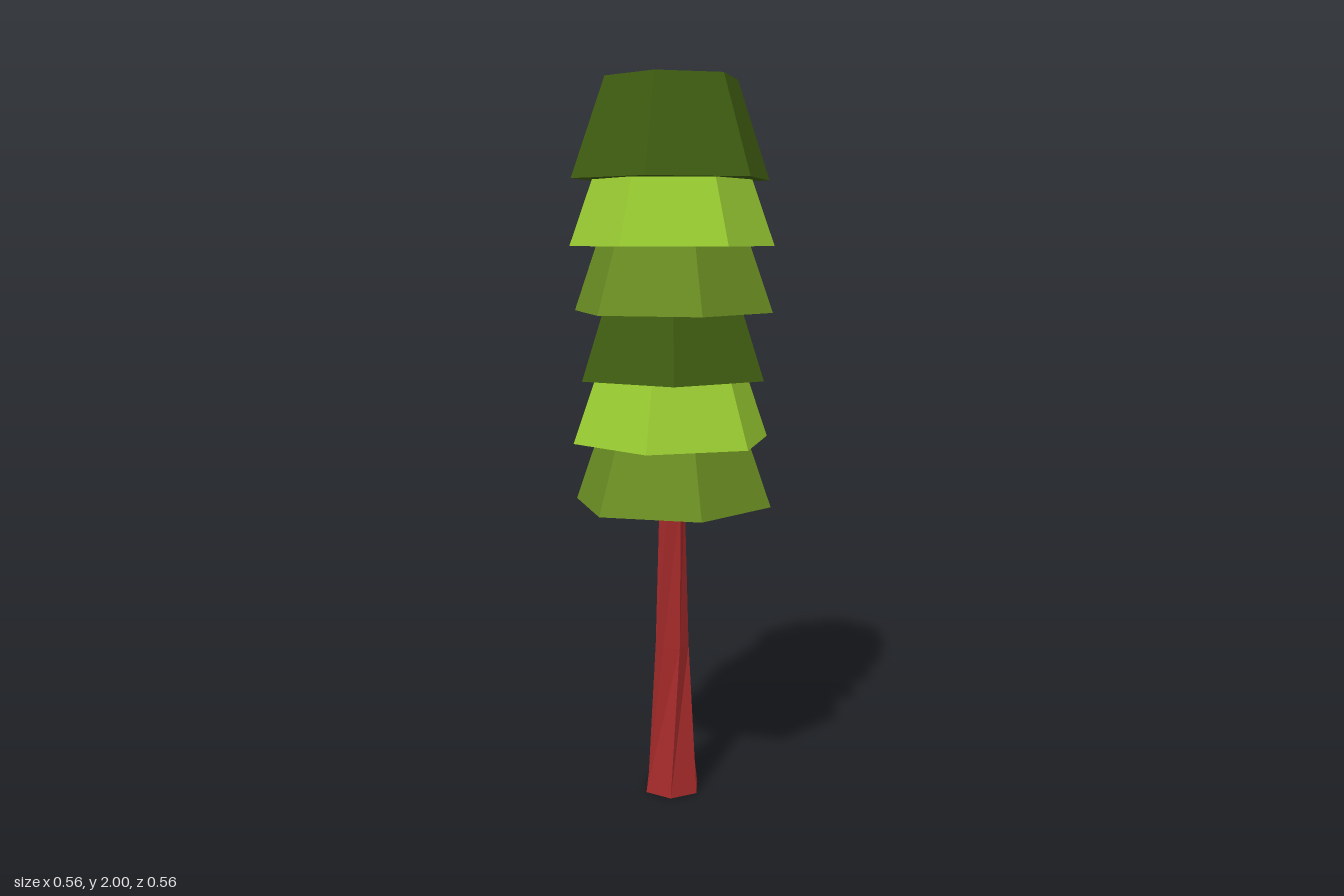
import * as THREE from 'three';

const DEG = Math.PI / 180;

function material(color) {
  return new THREE.MeshStandardMaterial({ color, flatShading: true });
}

// Six-sided trunk: flared foot, narrow waist, each ring twisted against the one below
function createTrunk() {
  const height = 0.86;
  const rings = [
    { r: 0.083, twist: 30 },
    { r: 0.047, twist: 60 },
    { r: 0.036, twist: 75 },
  ];
  const geometry = new THREE.CylinderGeometry(1, 1, height, 6, 2).toNonIndexed();
  geometry.translate(0, height / 2, 0);
  const p = geometry.attributes.position;
  for (let i = 0; i < p.count; i++) {
    const { r, twist } = rings[Math.round((p.getY(i) / height) * 2)];
    const radius = Math.hypot(p.getX(i), p.getZ(i)) * r;
    const angle = Math.atan2(p.getX(i), p.getZ(i)) + twist * DEG;
    p.setX(i, radius * Math.sin(angle));
    p.setZ(i, radius * Math.cos(angle));
  }
  geometry.computeVertexNormals();
  const trunk = new THREE.Mesh(geometry, material(0xa52a2a));
  trunk.name = 'trunk';
  return trunk;
}

// Stack of overlapping hexagonal frustums, each turned about the trunk
function createFoliage() {
  const foliage = new THREE.Group();
  foliage.name = 'foliage';
  const height = 0.267, firstBase = 0.842, step = 0.1782;
  const mid = material(0x6b8e23), light = material(0x9acd32), dark = material(0x3f5c10);
  const tiers = [[mid, 41.2], [light, 11.3], [dark, 56.3], [mid, 41.2], [light, 26.2], [dark, 11.3]];
  const geometry = new THREE.CylinderGeometry(0.186, 0.28, height, 6, 1, false, 30 * DEG);
  tiers.forEach(([mat, turn], i) => {
    const tier = new THREE.Mesh(geometry, mat);
    tier.name = `foliageTier${i + 1}`;
    tier.position.y = firstBase + i * step + height / 2;
    tier.rotation.y = -turn * DEG;
    foliage.add(tier);
  });
  return foliage;
}

export function createModel() {
  const tree = new THREE.Group();
  tree.name = 'tree';
  tree.add(createTrunk(), createFoliage());
  return tree;
}
